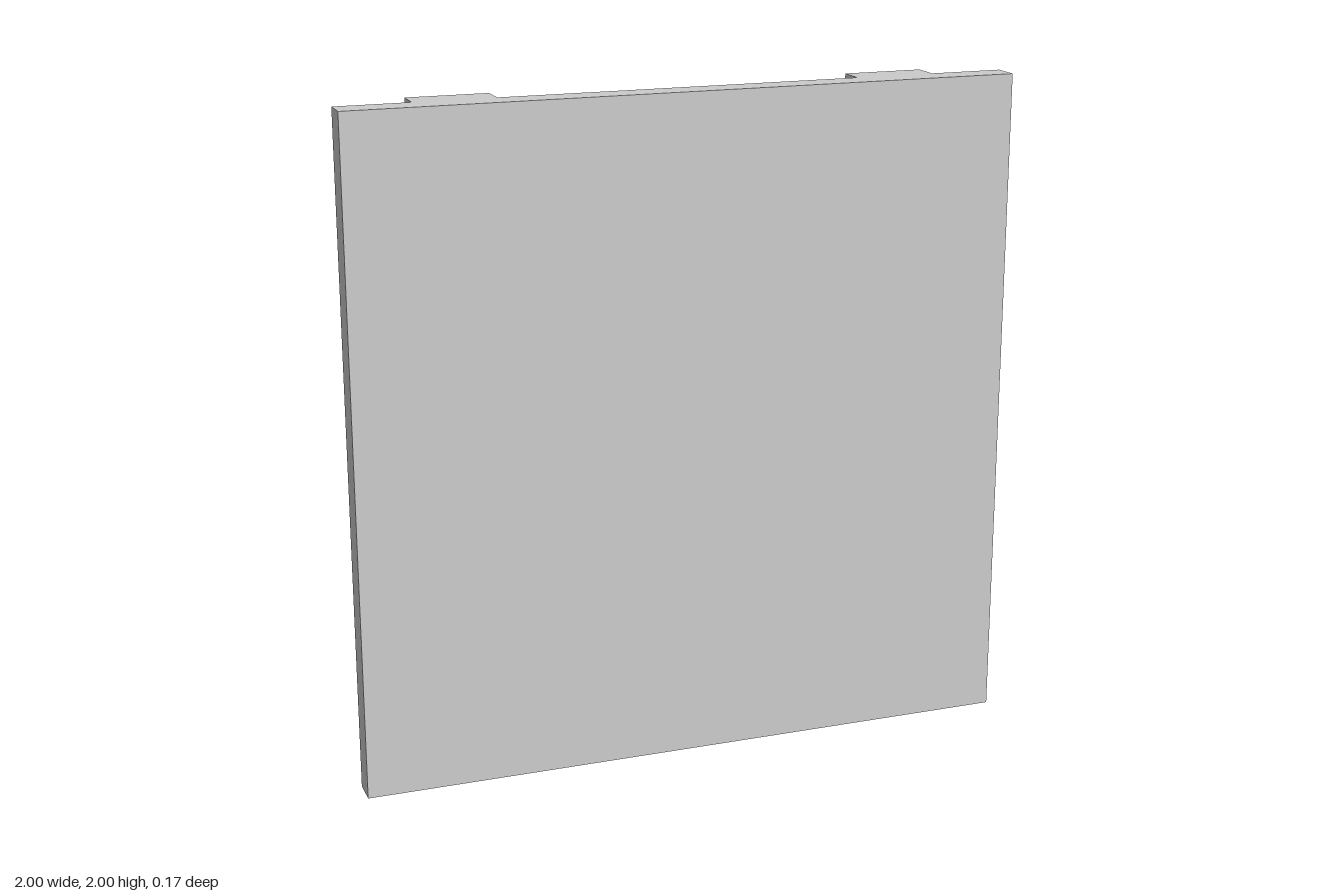
import * as THREE from 'three';

const HEIGHT = 2, HALF_WIDTH = 1, DEPTH = 0.085;
const BATTEN_INNER = 0.54, BATTEN_OUTER = 0.78;

export function createModel() {
  const group = new THREE.Group();
  group.name = 'battenedPanel';
  const material = new THREE.MeshStandardMaterial({ color: 0xcccccc, flatShading: true });

  // Plan outline: flat board with two battens on its back (shape y becomes -z)
  const half = [
    [HALF_WIDTH, -DEPTH], [HALF_WIDTH, 0],
    [BATTEN_OUTER, 0], [BATTEN_OUTER, DEPTH],
    [BATTEN_INNER, DEPTH], [BATTEN_INNER, 0],
  ];
  const mirrored = half.map(([x, y]) => [-x, y]).reverse();
  const outline = new THREE.Shape([...half, ...mirrored].map(([x, y]) => new THREE.Vector2(x, y)));

  // Raise the outline to full height
  const geometry = new THREE.ExtrudeGeometry(outline, { depth: HEIGHT, bevelEnabled: false });
  geometry.rotateX(-Math.PI / 2);

  const panel = new THREE.Mesh(geometry, material);
  panel.name = 'panelWithBackBattens';
  group.add(panel);
  return group;
}
